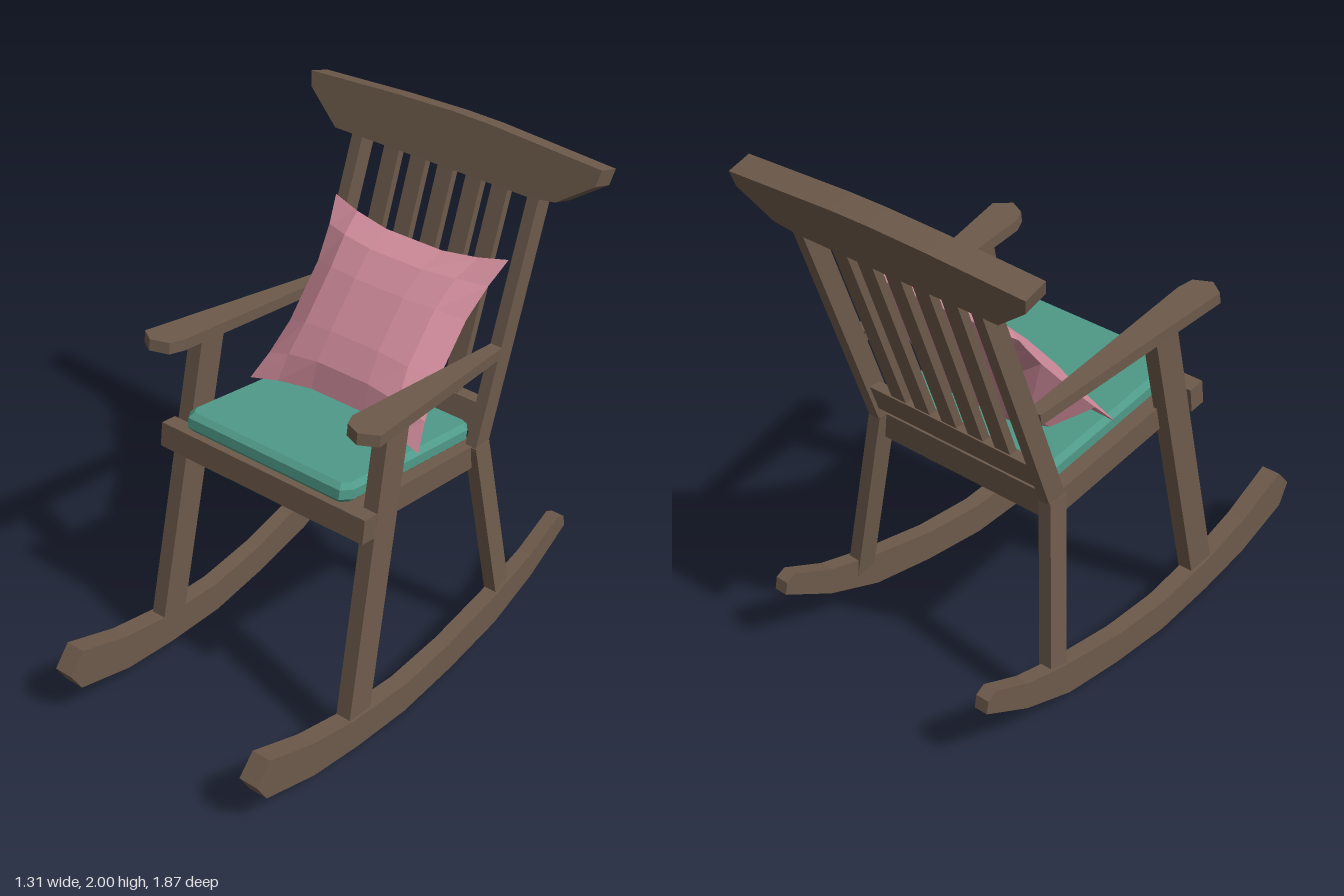
import * as THREE from 'three';

const mat = (name, color) => {
  const m = new THREE.MeshStandardMaterial({ color, flatShading: true });
  m.name = name;
  return m;
};

export function createModel() {
  const group = new THREE.Group();
  const wood = mat('brown wood', 0x6d5a4b);
  const teal = mat('teal fabric', 0x4f9a88);
  const pink = mat('pink fabric', 0xcf8b9a);

  const add = (name, geo, material = wood) => {
    geo.computeVertexNormals();
    const mesh = new THREE.Mesh(geo, material);
    mesh.name = name;
    group.add(mesh);
    return mesh;
  };
  // Move every vertex by a rule
  const warp = (geo, rule) => {
    const p = geo.attributes.position;
    const v = new THREE.Vector3();
    for (let i = 0; i < p.count; i++) {
      rule(v.fromBufferAttribute(p, i));
      p.setXYZ(i, v.x, v.y, v.z);
    }
    return geo;
  };
  const shape = (pts) => new THREE.Shape(pts.map(([x, y]) => new THREE.Vector2(x, y)));

  // Straight bar from a to b; its ends are cut square to the given axis
  const bar = (name, axis, a, b, size) => {
    const start = new THREE.Vector3(...a);
    const end = new THREE.Vector3(...b);
    const s = new THREE.Vector3(...size);
    add(name, warp(new THREE.BoxGeometry(1, 1, 1), (v) => {
      const t = v[axis] + 0.5;
      v[axis] = 0;
      v.multiply(s).add(start.clone().lerp(end, t));
    }));
  };
  // Plate outlined in x and z, tilted so that the front is higher
  const slab = (name, pts, y, depth, bevel, tilt, material) => {
    const geo = new THREE.ExtrudeGeometry(shape(pts.map(([x, z]) => [x, -z])), {
      depth: depth - 2 * bevel, bevelEnabled: bevel > 0, bevelSize: bevel,
      bevelThickness: bevel, bevelOffset: -bevel, bevelSegments: 1,
    });
    geo.rotateX(-Math.PI / 2).translate(0, bevel, 0);
    const mesh = add(name, geo, material);
    mesh.position.y = y;
    mesh.rotation.x = -tilt;
  };

  // Curved rockers, slightly splayed and thinner at the back
  const rockerProfile = [
    [0.94, 0.22], [0.87, 0.3], [0.63, 0.21], [0.41, 0.16], [0.1, 0.13], [-0.17, 0.15],
    [-0.48, 0.21], [-0.7, 0.27], [-0.88, 0.355], [-0.92, 0.335], [-0.93, 0.285],
    [-0.71, 0.16], [-0.47, 0.07], [-0.19, 0.025], [0.1, 0], [0.38, 0.02], [0.63, 0.055], [0.89, 0.135],
  ];
  const rocker = (name, xMid, slope) => {
    const geo = new THREE.ExtrudeGeometry(shape(rockerProfile), { depth: 1, bevelEnabled: false });
    geo.rotateY(-Math.PI / 2);
    add(name, warp(geo, (v) => {
      v.x = (v.x + 0.5) * (0.068 + 0.013 * v.z) + xMid + slope * v.z;
    }));
  };
  rocker('leftRocker', 0.489, -0.0135);
  rocker('rightRocker', -0.464, 0.035);

  // Legs, posts and side rails
  const sides = [
    { n: 'left', s: 1, frontFoot: 0.48, frontTop: 0.437, backFoot: 0.495, postTop: 0.408 },
    { n: 'right', s: -1, frontFoot: 0.445, frontTop: 0.425, backFoot: 0.48, postTop: 0.393 },
  ];
  for (const { n, s, frontFoot, frontTop, backFoot, postTop } of sides) {
    bar(n + 'FrontLeg', 'y', [s * frontFoot, 0.1, 0.37], [s * frontTop, 1.325, 0.105], [0.062, 0, 0.122]);
    bar(n + 'BackLeg', 'y', [s * backFoot, 0.15, -0.53], [s * 0.41, 0.89, -0.45], [0.055, 0, 0.085]);
    bar(n + 'BackPost', 'y', [s * 0.41, 0.88, -0.45], [s * postTop, 1.86, -0.787], [0.048, 0, 0.085]);
    bar(n + 'SeatRail', 'z', [s * 0.392, 0.84, -0.43], [s * 0.392, 0.935, 0.29], [0.045, 0.1, 0]);
  }

  // Armrests, wide in front and narrow at the back
  slab('leftArmrest', [[0.42, 0.345], [0.395, 0.29], [0.39, -0.535], [0.44, -0.535], [0.55, 0.33], [0.485, 0.375]],
    1.3, 0.045, 0, 0.13, wood);
  slab('rightArmrest', [[-0.515, 0.345], [-0.43, -0.535], [-0.375, -0.535], [-0.37, 0.29], [-0.385, 0.355], [-0.455, 0.385]],
    1.3, 0.045, 0, 0.13, wood);

  // Seat frame and board
  const frontRail = add('frontSeatRail', new THREE.BoxGeometry(0.955, 0.098, 0.07));
  frontRail.position.set(0.012, 0.953, 0.295);
  frontRail.rotation.x = -0.13;
  bar('backSeatRail', 'x', [-0.4, 0.835, -0.435], [0.4, 0.835, -0.435], [0, 0.105, 0.045]);
  slab('seatBoard', [[-0.38, 0.28], [-0.38, -0.43], [0.38, -0.43], [0.38, 0.28]], 0.89, 0.05, 0, 0.13, wood);

  // Backrest: lower rail, slats and head rail
  const backZ = (y) => -0.45 - 0.344 * (y - 0.88);
  bar('lowerBackRail', 'y', [0, 0.93, backZ(0.93)], [0, 1.04, backZ(1.04)], [0.8, 0, 0.05]);
  [-0.245, -0.12, 0.005, 0.133, 0.25].forEach((x, i) => {
    bar('backSlat' + (i + 1), 'y', [x, 1.0, backZ(1.0)], [x, 1.84, backZ(1.84)], [0.07, 0, 0.035]);
  });
  const headRail = add('headRail', new THREE.ExtrudeGeometry(shape([
    [-0.495, 0], [0.4, 0], [0.505, 0.015], [0.645, 0.115], [0.655, 0.178], [0.17, 0.204],
    [0, 0.206], [-0.25, 0.199], [-0.655, 0.178], [-0.64, 0.118],
  ]), { depth: 0.098, bevelEnabled: false }));
  headRail.position.set(0, 1.775, -0.81);
  headRail.rotation.x = -0.3;

  // Seat cushion with chamfered edges
  slab('seatCushion', [
    [-0.35, 0.315], [-0.38, 0.27], [-0.375, -0.41], [-0.345, -0.45],
    [0.36, -0.45], [0.39, -0.41], [0.39, 0.27], [0.36, 0.315],
  ], 0.96, 0.078, 0.02, 0.15, teal);

  // Pillow: two bulging faces with pinched edges and drawn-out corners
  const spread = (a) => Math.sign(a) * Math.abs(a) ** 0.7;
  const pillow = new THREE.Group();
  pillow.name = 'pillow';
  for (const side of [1, -1]) {
    const geo = new THREE.PlaneGeometry(2, 2, 5, 5);
    if (side < 0) geo.rotateY(Math.PI);
    warp(geo, (v) => {
      const s = spread(v.x);
      const t = spread(v.y);
      const puff = Math.sqrt(Math.max(0, (1 - s * s) * (1 - t * t)));
      v.set(
        0.4 * s * (1 - 0.15 * (1 - t * t)),
        0.385 * t * (1 - 0.16 * (1 - s * s)),
        side > 0 ? 0.085 * puff : -0.175 * puff * (1 - 0.7 * t),
      );
    });
    pillow.add(add(side > 0 ? 'pillowFront' : 'pillowBack', geo, pink));
  }
  pillow.position.set(-0.005, 1.305, -0.358);
  pillow.rotation.x = -0.725;
  group.add(pillow);

  return group;
}
